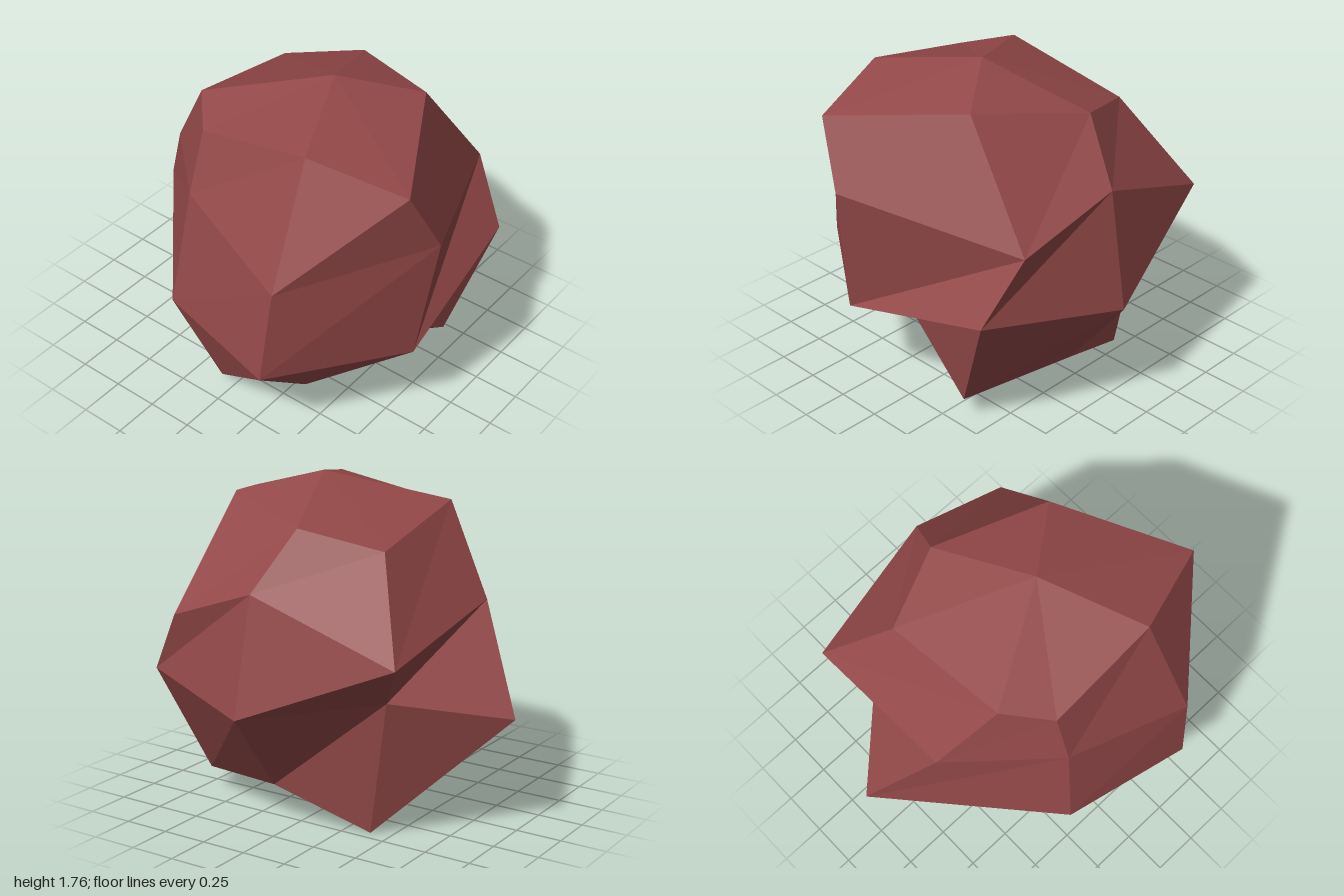
import * as THREE from 'three';

// Rock: a coarse ball of four uneven rings, seven points each, with two poles.
// Each ring runs front-left, front, then counter-clockwise as seen from above.
const TOP = [0, 1.76, 0.19];
const BOTTOM = [-0.14, 0.05, 0.12];
const RINGS = [
  // crown
  [[-0.54, 1.67, 0.43], [-0.38, 1.56, 0.92], [0.28, 1.66, 0.55], [0.54, 1.56, -0.02],
    [0.38, 1.46, -0.43], [-0.34, 1.61, -0.39], [-0.55, 1.56, -0.2]],
  // shoulder
  [[-0.85, 1.05, 0.47], [-0.21, 1.22, 1.0], [0.72, 1.07, 0.63], [0.79, 1.26, 0.09],
    [0.7, 0.97, -0.69], [-0.2, 1.14, -0.69], [-0.66, 1.23, -0.21]],
  // waist
  [[-0.92, 0.53, 0.44], [-0.26, 0.51, 0.91], [0.63, 0.73, 0.84], [0.91, 0.64, 0.11],
    [0.5, 0.73, -0.52], [0.05, 0.61, -1.0], [-0.77, 0.57, -0.27]],
  // foot
  [[-0.51, 0.17, 0.41], [-0.08, 0.39, 0.62], [0.36, 0.12, 0.7], [0.57, 0.2, 0.12],
    [0.44, 0, -0.39], [-0.02, 0.15, -0.49], [-0.63, 0.05, -0.07]],
];

function rockGeometry() {
  const positions = [];
  const tri = (...corners) => corners.forEach((p) => positions.push(...p));
  const sides = RINGS[0].length;
  for (let i = 0; i < sides; i++) {
    const j = (i + 1) % sides;
    // cap wedges
    tri(TOP, RINGS[0][i], RINGS[0][j]);
    tri(BOTTOM, RINGS[3][j], RINGS[3][i]);
    // bands between neighbouring rings
    for (let r = 0; r < RINGS.length - 1; r++) {
      const upper = RINGS[r], lower = RINGS[r + 1];
      tri(upper[j], upper[i], lower[i]);
      tri(upper[j], lower[i], lower[j]);
    }
  }
  const geometry = new THREE.BufferGeometry();
  geometry.setAttribute('position', new THREE.Float32BufferAttribute(positions, 3));
  geometry.computeVertexNormals(); // unshared corners give flat facets
  return geometry;
}

export function createModel() {
  const stone = new THREE.MeshStandardMaterial({ color: 0x934848, flatShading: true });
  stone.name = 'red stone';
  const rock = new THREE.Mesh(rockGeometry(), stone);
  rock.name = 'rock';
  const group = new THREE.Group();
  group.name = 'boulder';
  group.add(rock);
  return group;
}
